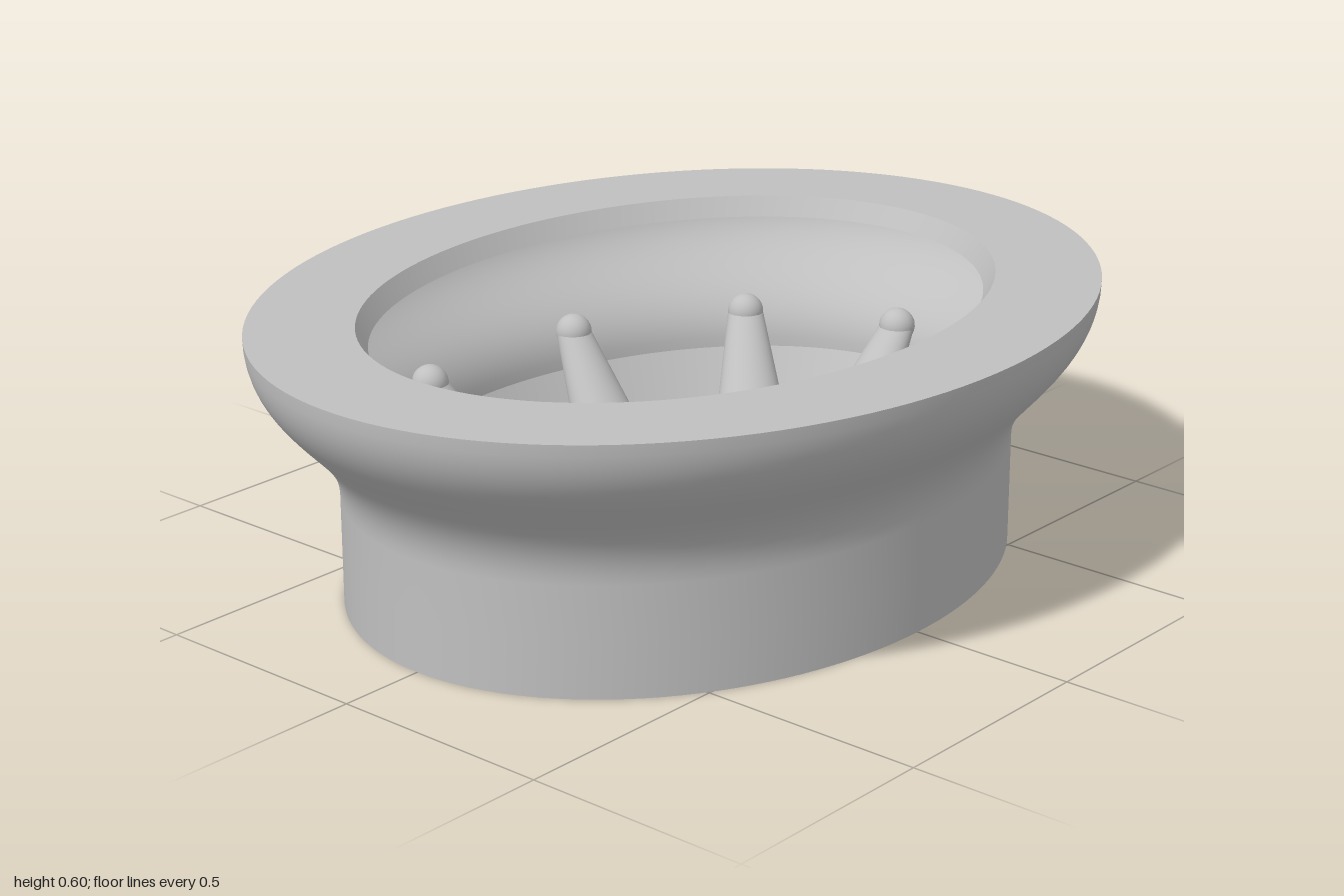
import * as THREE from 'three';
import { mergeGeometries, mergeVertices, toCreasedNormals } from 'three/addons/utils/BufferGeometryUtils.js';

const SIDES = 128;
const V = (a, b, y) => new THREE.Vector3(a, b, y); // half-width, half-depth, height

// Elliptical band swept through a run of cross-sections, smooth along its run
function ellipseBand(sections) {
  const pos = [], index = [];
  sections.forEach(({ x: a, y: b, z: h }) => {
    for (let j = 0; j < SIDES; j++) {
      const t = (j / SIDES) * Math.PI * 2;
      pos.push(a * Math.cos(t), h, b * Math.sin(t));
    }
  });
  for (let i = 0; i < sections.length - 1; i++) {
    for (let j = 0; j < SIDES; j++) {
      const k = (j + 1) % SIDES;
      const p = i * SIDES + j, q = i * SIDES + k;
      index.push(p, p + SIDES, q, q, p + SIDES, q + SIDES);
    }
  }
  const g = new THREE.BufferGeometry();
  g.setAttribute('position', new THREE.Float32BufferAttribute(pos, 3));
  g.setIndex(index);
  g.computeVertexNormals();
  return g;
}

const curve = (...p) => new THREE.CubicBezierCurve3(...p).getPoints(20);

// Hollow flared ring, each band meeting the next at a sharp edge
function shellGeometry() {
  const foot = V(0.807, 0.632, 0), rim = V(1, 0.805, 0.6);
  const mouth = V(0.77, 0.58, 0.6), lip = V(0.745, 0.555, 0.557);
  const under = V(0.93, 0.735, 0.557), seat = V(0.745, 0.555, 0.244);
  const throat = V(0.62, 0.43, 0.03), step = V(0.67, 0.485, 0.03), bore = V(0.69, 0.51, 0);
  return mergeGeometries([
    // outer wall and flare
    [foot, V(0.807, 0.632, 0.12), ...curve(V(0.807, 0.632, 0.24), V(0.807, 0.632, 0.4), V(1, 0.805, 0.43), rim)],
    // top face, bevel and underside of the rim
    [rim, mouth], [mouth, lip], [lip, under],
    // inner flare and funnel
    curve(under, V(0.93, 0.735, 0.42), V(0.745, 0.555, 0.4), seat),
    [seat, throat],
    // bottom recess and foot face
    [throat, step], [step, bore], [bore, foot],
  ].map(ellipseBand));
}

// Socket at the foot of a nozzle, open downwards
function socketGeometry() {
  const profile = [[0, 0.08], [0.06, 0.08], [0.06, 0], [0.085, 0], [0.085, 0.1]];
  return toCreasedNormals(new THREE.LatheGeometry(profile.map(([r, y]) => new THREE.Vector2(r, y)), 32), 0.7);
}

// Tapered cone sheared towards the wall
function coneGeometry(dx, dz) {
  let g = new THREE.CylinderGeometry(0.04, 0.085, 0.23, 32, 4, true);
  g.deleteAttribute('normal');
  g.deleteAttribute('uv');
  const p = g.attributes.position;
  for (let i = 0; i < p.count; i++) {
    const f = p.getY(i) / 0.23 + 0.5;
    p.setXYZ(i, p.getX(i) + f * dx, 0.1 + f * 0.23, p.getZ(i) + f * dz);
  }
  g = mergeVertices(g);
  g.computeVertexNormals();
  return g;
}

export function createModel() {
  const model = new THREE.Group();
  model.name = 'flaredRing';
  const grey = new THREE.MeshStandardMaterial({ color: 0xc0c0c0 });
  grey.name = 'plain grey';

  const add = (parent, name, geometry) => {
    const mesh = new THREE.Mesh(geometry, grey);
    mesh.name = name;
    parent.add(mesh);
    return mesh;
  };

  add(model, 'shell', shellGeometry());

  // Nozzles: foot x, z and tip x, z, mirrored left and right
  const nozzles = [
    [0.19, -0.37, 0.23, -0.53],
    [0.475, -0.205, 0.6, -0.33],
    [0.56, 0, 0.745, 0],
    [0.42, 0.255, 0.51, 0.385],
  ];
  const socket = socketGeometry();
  const tip = new THREE.SphereGeometry(0.041, 24, 16);
  for (const side of [1, -1]) {
    nozzles.forEach(([x, z, tx, tz], i) => {
      const nozzle = new THREE.Group();
      nozzle.name = `${side > 0 ? 'left' : 'right'}Nozzle${i + 1}`;
      nozzle.position.set(side * x, 0, z);
      const dx = side * (tx - x), dz = tz - z;
      add(nozzle, 'socket', socket);
      add(nozzle, 'cone', coneGeometry(dx, dz));
      add(nozzle, 'tip', tip).position.set(dx, 0.33, dz);
      model.add(nozzle);
    });
  }
  return model;
}
